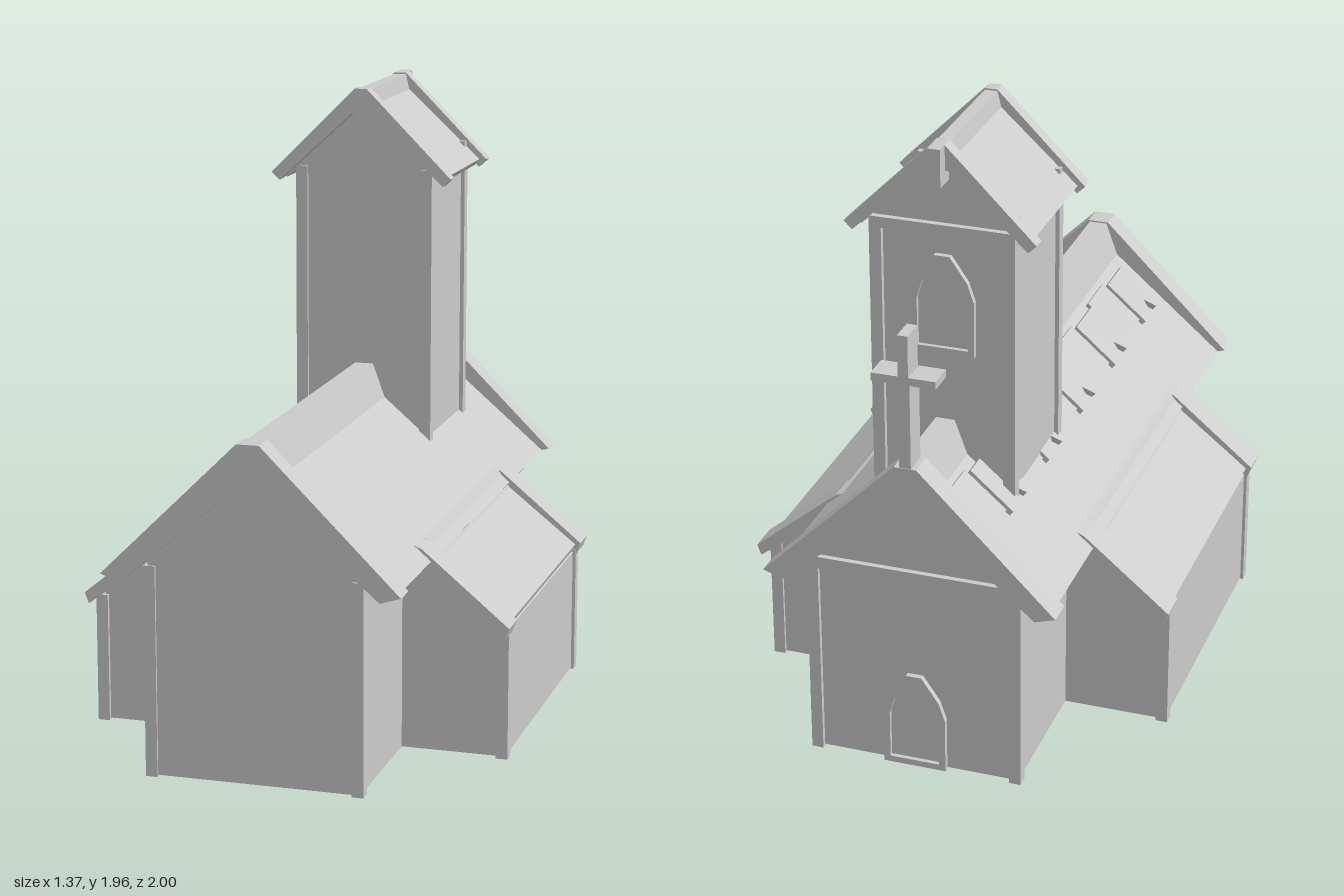
import * as THREE from 'three';

const mat = new THREE.MeshStandardMaterial({ color: 0xcccccc, flatShading: true, side: THREE.DoubleSide });

function add(parent, name, geometry) {
  const mesh = new THREE.Mesh(geometry, mat);
  mesh.name = name;
  parent.add(mesh);
  return mesh;
}

function toShape(pts) {
  return new THREE.Shape(pts.map(([x, y]) => new THREE.Vector2(x, y)));
}

// Extrudes an xy profile from z0 to z1
function prism(parent, name, pts, z0, z1, hole) {
  const shape = toShape(pts);
  if (hole) shape.holes.push(toShape(hole));
  const geo = new THREE.ExtrudeGeometry(shape, { depth: z1 - z0, bevelEnabled: false });
  geo.translate(0, 0, z0);
  return add(parent, name, geo);
}

// Box given by its limits
function block(parent, name, [x0, x1], [y0, y1], [z0, z1]) {
  const geo = new THREE.BoxGeometry(x1 - x0, y1 - y0, z1 - z0);
  geo.translate((x0 + x1) / 2, (y0 + y1) / 2, (z0 + z1) / 2);
  return add(parent, name, geo);
}

const mirror = (pts) => pts.map(([x, y]) => [-x, y]);
const sym = (half) => [...half, ...mirror(half).reverse()];
const sides = [-1, 1];

// Range [a, b] flipped to the chosen side of x = 0
const span = (s, a, b) => (s > 0 ? [a, b] : [-b, -a]);

// Pointed opening: raised frame around a thin panel
function archedOpening(parent, name, y, z) {
  const outer = sym([[0.025, y + 0.32], [0.08, y + 0.24], [0.1, y + 0.18], [0.1, y]]);
  const inner = sym([[0.017, y + 0.3], [0.063, y + 0.232], [0.08, y + 0.176], [0.08, y + 0.02]]);
  prism(parent, name + 'Frame', outer, z - 0.018, z, inner);
  prism(parent, name + 'Panel', inner, z - 0.004, z);
}

function buildNave() {
  const g = new THREE.Group();
  g.name = 'nave';
  const gable = sym([[0.04, 0.925], [0.33, 0.675], [0.33, 0.005]]);
  prism(g, 'frontGable', gable, 0.935, 0.958);
  prism(g, 'backGable', gable, -0.935, -0.912);
  for (const s of sides) {
    block(g, 'sideWall', span(s, 0.307, 0.33), [0.005, 0.67], [-0.93, 0.95]);
    block(g, 'frontPost', span(s, 0.305, 0.342), [0, 0.66], [0.925, 0.965]);
    block(g, 'backPost', span(s, 0.305, 0.342), [0, 0.66], [-0.95, -0.91]);
  }
  block(g, 'tieBeam', [-0.34, 0.34], [0.645, 0.685], [-0.953, -0.92]);
  // Roof with raised ridge, and thicker boards at both ends
  prism(g, 'roof', sym([[0.03, 1.055], [0.07, 0.945], [0.44, 0.628], [0.42, 0.605], [0.04, 0.92]]), -0.915, 0.925);
  const barge = sym([[0.035, 1.06], [0.465, 0.635], [0.4, 0.615], [0.04, 0.925]]);
  prism(g, 'frontBargeboard', barge, 0.92, 1);
  prism(g, 'backBargeboard', barge, -0.995, -0.91);
  archedOpening(g, 'door', 0, -0.935);
  return g;
}

function buildWing(s) {
  const g = new THREE.Group();
  g.name = s > 0 ? 'leftWing' : 'rightWing';
  const side = (pts) => (s > 0 ? pts : mirror(pts));
  prism(g, 'wingWalls', side([[0.32, 0.005], [0.66, 0.005], [0.66, 0.405], [0.36, 0.64], [0.32, 0.64]]), -0.46, 0.5);
  for (const [z0, z1] of [[0.475, 0.512], [-0.47, -0.432]]) {
    block(g, 'wingPost', span(s, 0.632, 0.67), [0, 0.415], [z0, z1]);
  }
  prism(g, 'wingRoof', side([[0.385, 0.675], [0.4, 0.67], [0.44, 0.612], [0.667, 0.432], [0.655, 0.405], [0.36, 0.635]]), -0.445, 0.48);
  const barge = side([[0.385, 0.675], [0.41, 0.665], [0.685, 0.437], [0.672, 0.402], [0.36, 0.635]]);
  prism(g, 'wingBargeboard', barge, 0.47, 0.572);
  prism(g, 'wingBargeboard', barge, -0.54, -0.435);
  return g;
}

function buildTower() {
  const g = new THREE.Group();
  g.name = 'tower';
  prism(g, 'towerWalls', sym([[0.03, 1.88], [0.215, 1.705], [0.215, 0.82]]), -0.645, -0.21);
  for (const s of sides) {
    for (const [z0, z1] of [[-0.237, -0.2], [-0.662, -0.625]]) {
      block(g, 'towerPost', span(s, 0.19, 0.228), [0.808, 1.7], [z0, z1]);
    }
    for (const z of [-0.23, -0.625]) {
      block(g, 'roofPeg', span(s, 0.21, 0.23), [1.7, 1.74], [z - 0.011, z + 0.011]);
    }
  }
  block(g, 'towerTieBeam', [-0.225, 0.225], [1.665, 1.7], [-0.665, -0.63]);
  prism(g, 'towerRoof', sym([[0.02, 1.955], [0.032, 1.905], [0.276, 1.68], [0.26, 1.66], [0.03, 1.88]]), -0.64, -0.205);
  const barge = sym([[0.02, 1.96], [0.3, 1.68], [0.274, 1.655], [0.03, 1.88]]);
  prism(g, 'towerBargeboard', barge, -0.21, -0.165);
  prism(g, 'towerBargeboard', barge, -0.68, -0.635);
  block(g, 'ridgeBracket', [-0.02, 0.02], [1.84, 1.96], [-0.72, -0.64]);
  archedOpening(g, 'window', 1.28, -0.645);
  return g;
}

// Upright with a flat cross-arm on the back end of the ridge
function buildFinial() {
  const g = new THREE.Group();
  g.name = 'gableCross';
  block(g, 'upright', [-0.018, 0.018], [1.04, 1.35], [-0.993, -0.912]);
  block(g, 'topPiece', [-0.016, 0.016], [1.35, 1.492], [-0.998, -0.916]);
  block(g, 'crossArm', [-0.1, 0.1], [1.335, 1.36], [-0.998, -0.91]);
  return g;
}

// Row of shingles below the ridge on one slope, every other one notched
function buildShingles() {
  const g = new THREE.Group();
  g.name = 'shingles';
  const a = Math.atan(0.865), c = Math.cos(a), s = Math.sin(a);
  const basis = new THREE.Matrix4().makeBasis(
    new THREE.Vector3(-c, -s, 0), new THREE.Vector3(0, 0, 1), new THREE.Vector3(-s, c, 0));
  basis.setPosition(-0.085, 0.932, 0);
  for (let i = 0; i < 10; i++) {
    const z = -0.905 + i * 0.1765, w = 0.168;
    const notched = i % 2 === 1;
    const u0 = notched ? 0.015 : 0, u1 = notched ? 0.195 : 0.175;
    const pts = [[u0, z], [u1, z]];
    if (notched) pts.push([u1, z + 0.07], [u1 - 0.05, z + 0.1], [u1, z + 0.13]);
    pts.push([u1, z + w], [u0, z + w]);
    const geo = new THREE.ExtrudeGeometry(toShape(pts), { depth: notched ? 0.02 : 0.014, bevelEnabled: false });
    geo.applyMatrix4(basis);
    add(g, 'shingle', geo);
  }
  return g;
}

export function createModel() {
  const model = new THREE.Group();
  model.name = 'church';
  model.add(buildNave(), buildWing(1), buildWing(-1), buildTower(), buildFinial(), buildShingles());
  return model;
}
